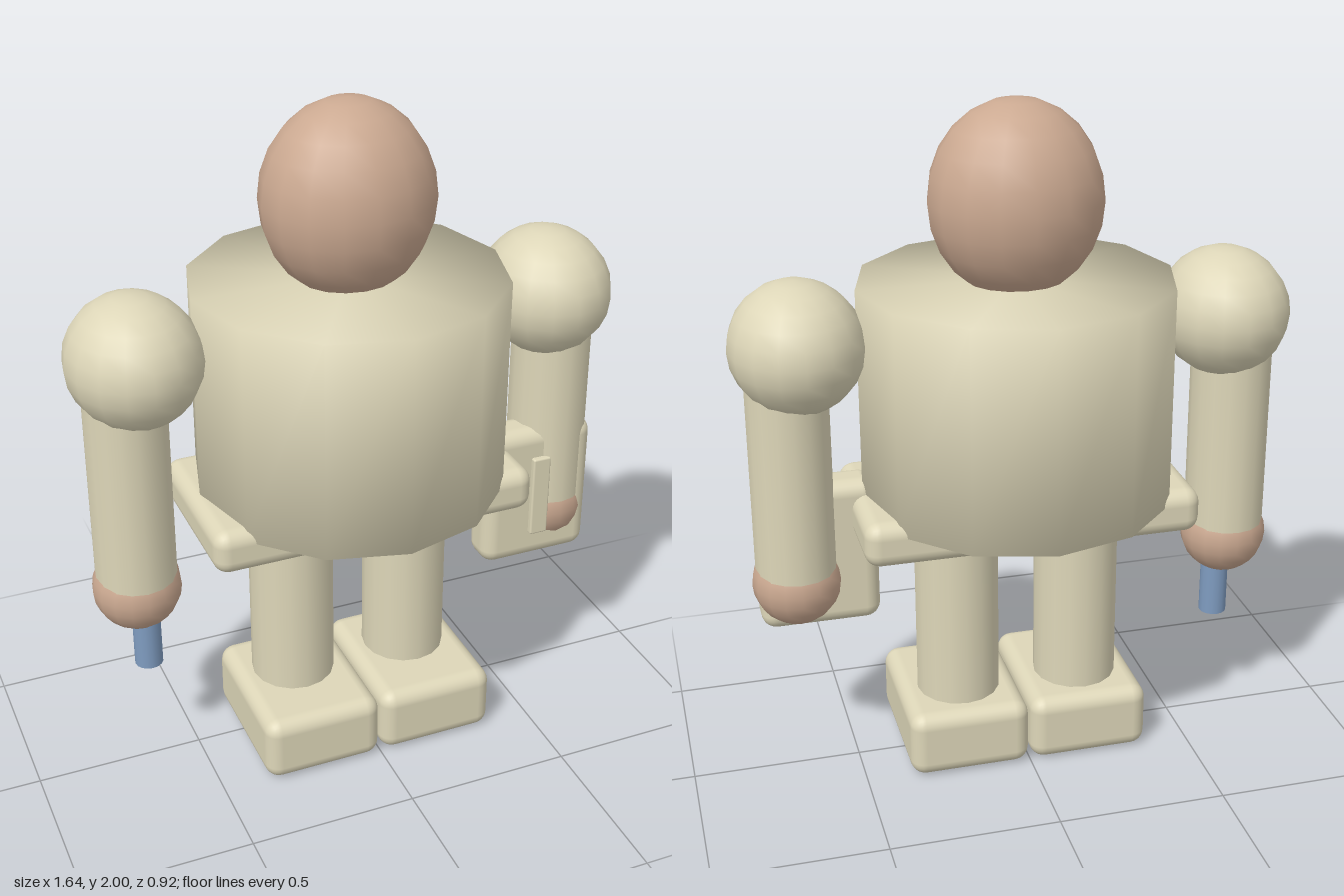
import * as THREE from 'three';
import { RoundedBoxGeometry } from 'three/addons/geometries/RoundedBoxGeometry.js';
import { mergeVertices } from 'three/addons/utils/BufferGeometryUtils.js';

const material = (name, color) => {
  const m = new THREE.MeshStandardMaterial({ color });
  m.name = name;
  return m;
};

export function createModel() {
  const model = new THREE.Group();
  const cream = material('cream', 0xddd6b8);
  const skin = material('skin', 0xcba991);
  const blue = material('steelBlue', 0x7f9cc0);

  const add = (name, geometry, mat, x, y, z) => {
    const mesh = new THREE.Mesh(geometry, mat);
    mesh.name = name;
    mesh.position.set(x, y, z);
    model.add(mesh);
    return mesh;
  };
  const ball = (name, mat, rx, ry, rz, x, y, z) =>
    add(name, new THREE.SphereGeometry(1, 16, 12).scale(rx, ry, rz), mat, x, y, z);
  const column = (name, mat, rx, rz, y0, y1, x) =>
    add(name, new THREE.CylinderGeometry(1, 1, y1 - y0, 16).scale(rx, 1, rz), mat, x, (y0 + y1) / 2, 0);
  // rounded block given by its min and max corners
  const block = (name, a, b, radius) =>
    add(name, new RoundedBoxGeometry(b[0] - a[0], b[1] - a[1], b[2] - a[2], 3, radius), cream,
      (a[0] + b[0]) / 2, (a[1] + b[1]) / 2, (a[2] + b[2]) / 2);

  // twelve-sided torso, shaded smoothly over its rims
  let torso = new THREE.CylinderGeometry(0.458, 0.458, 0.65, 12);
  torso.deleteAttribute('normal');
  torso.deleteAttribute('uv');
  torso = mergeVertices(torso);
  torso.computeVertexNormals();
  add('torso', torso, cream, 0, 1.167, 0);

  ball('head', skin, 0.25, 0.28, 0.227, 0, 1.72, 0);
  block('hips', [-0.493, 0.75, -0.25], [0.493, 0.885, 0.25], 0.045);

  // limbs, mirrored
  for (const [side, s] of [['left', 1], ['right', -1]]) {
    ball(side + 'Shoulder', cream, 0.192, 0.19, 0.213, s * 0.626, 1.345, 0);
    column(side + 'Arm', cream, 0.118, 0.126, 0.67, 1.3, s * 0.66);
    ball(side + 'Hand', skin, 0.13, 0.13, 0.13, s * 0.66, 0.628, 0);
    column(side + 'Leg', cream, 0.126, 0.13, 0.18, 0.78, s * 0.185);
    const x = [s * 0.003, s * 0.367].sort((p, q) => p - q);
    block(side + 'Foot', [x[0], 0.005, -0.19], [x[1], 0.21, 0.28], 0.045);
  }

  // rod below the right hand
  column('rod', blue, 0.042, 0.042, 0.35, 0.58, -0.64);

  // case held in the left hand, with a raised bar on its front
  block('heldCase', [0.415, 0.475, -0.025], [0.768, 0.925, 0.105], 0.045);
  block('caseBar', [0.56, 0.57, 0.08], [0.618, 0.835, 0.122], 0.006);

  return model;
}
